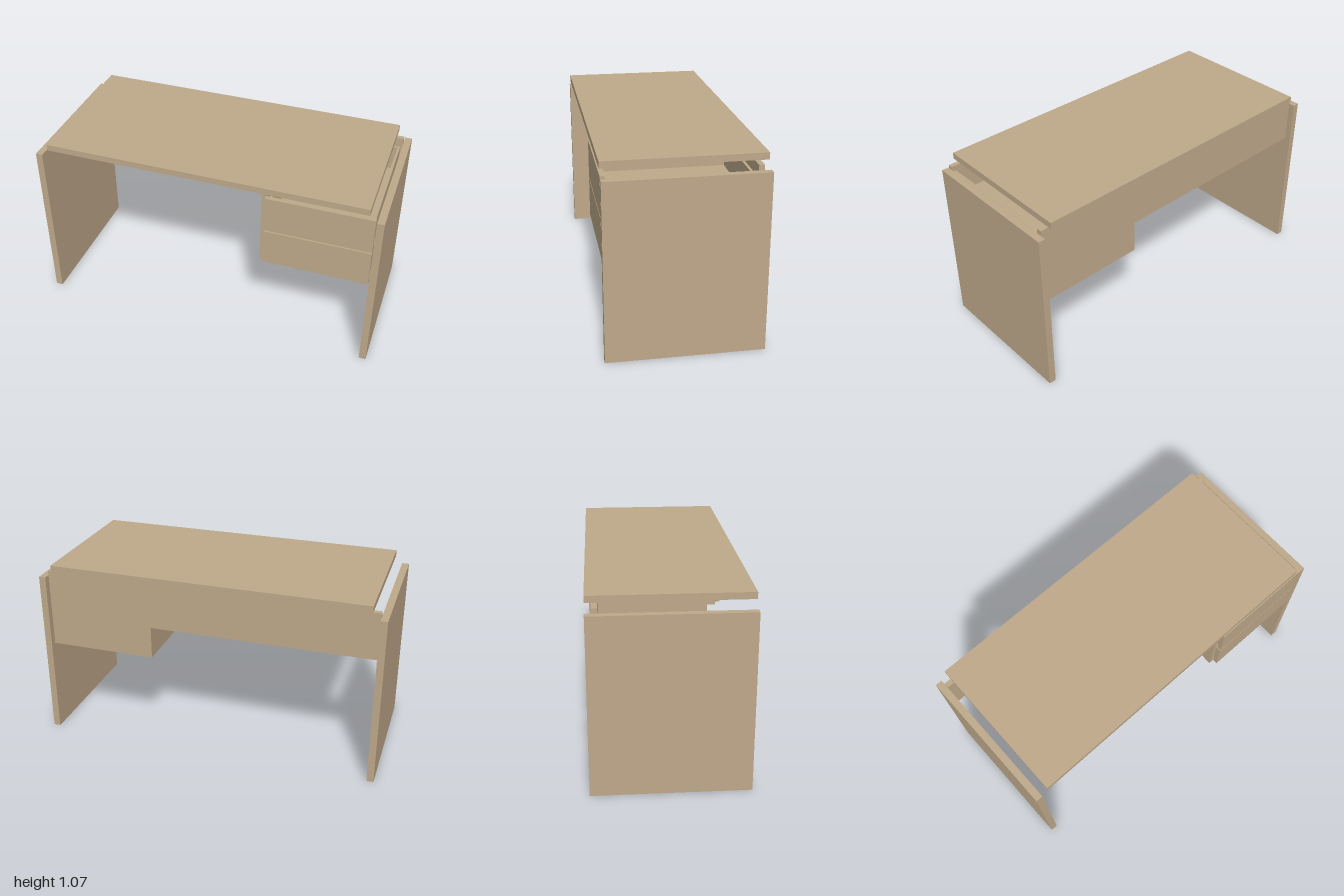
import * as THREE from 'three';

const wood = new THREE.MeshStandardMaterial({ color: 0xbfa98a });
wood.name = 'lightWood';

// Box given by its limits on each axis
function board(name, [x0, x1], [y0, y1], [z0, z1]) {
  const geometry = new THREE.BoxGeometry(x1 - x0, y1 - y0, z1 - z0);
  const mesh = new THREE.Mesh(geometry, wood);
  mesh.position.set((x0 + x1) / 2, (y0 + y1) / 2, (z0 + z1) / 2);
  mesh.name = name;
  return mesh;
}

// Open-topped drawer: a front plate with a thin box behind it
function drawer(name, y0, y1) {
  const group = new THREE.Group();
  group.name = name;
  const t = 0.015, l = 0.37, r = 0.947, back = -0.345, front = 0.4;
  const b = y0 + 0.02, top = y1 - 0.03;
  group.add(
    board('drawerFront', [0.36, 0.955], [y0, y1], [front, 0.427]),
    board('drawerFloor', [l, r], [b, b + t], [back, front]),
    board('drawerLeftSide', [r - t, r], [b + t, top], [back, front]),
    board('drawerRightSide', [l, l + t], [b + t, top], [back, front]),
    board('drawerBack', [l + t, r - t], [b + t, top], [back, back + t])
  );
  return group;
}

export function createModel() {
  const desk = new THREE.Group();
  desk.name = 'desk';

  // Floating top and full-depth side panels
  desk.add(
    board('deskTop', [-0.92, 0.92], [1.035, 1.072], [-0.427, 0.427]),
    board('leftSidePanel', [0.96, 1], [0, 0.995], [-0.427, 0.427]),
    board('rightSidePanel', [-1, -0.96], [0, 0.995], [-0.427, 0.427])
  );

  // Back panel, stepped down behind the drawers
  const outline = new THREE.Shape([
    [-0.96, 0.75], [0.333, 0.75], [0.333, 0.56],
    [0.958, 0.56], [0.958, 1.022], [-0.96, 1.022],
  ].map(([x, y]) => new THREE.Vector2(x, y)));
  const backPanel = new THREE.Mesh(
    new THREE.ExtrudeGeometry(outline, { depth: 0.03, bevelEnabled: false }), wood);
  backPanel.position.z = -0.392;
  backPanel.name = 'backPanel';
  desk.add(backPanel);

  // Drawer cabinet, open at the top
  desk.add(
    board('cabinetWall', [0.333, 0.36], [0.56, 1.02], [-0.362, 0.395]),
    board('cabinetFloor', [0.36, 0.958], [0.56, 0.585], [-0.362, 0.395]),
    drawer('lowerDrawer', 0.572, 0.787),
    drawer('upperDrawer', 0.795, 1.008)
  );
  return desk;
}
